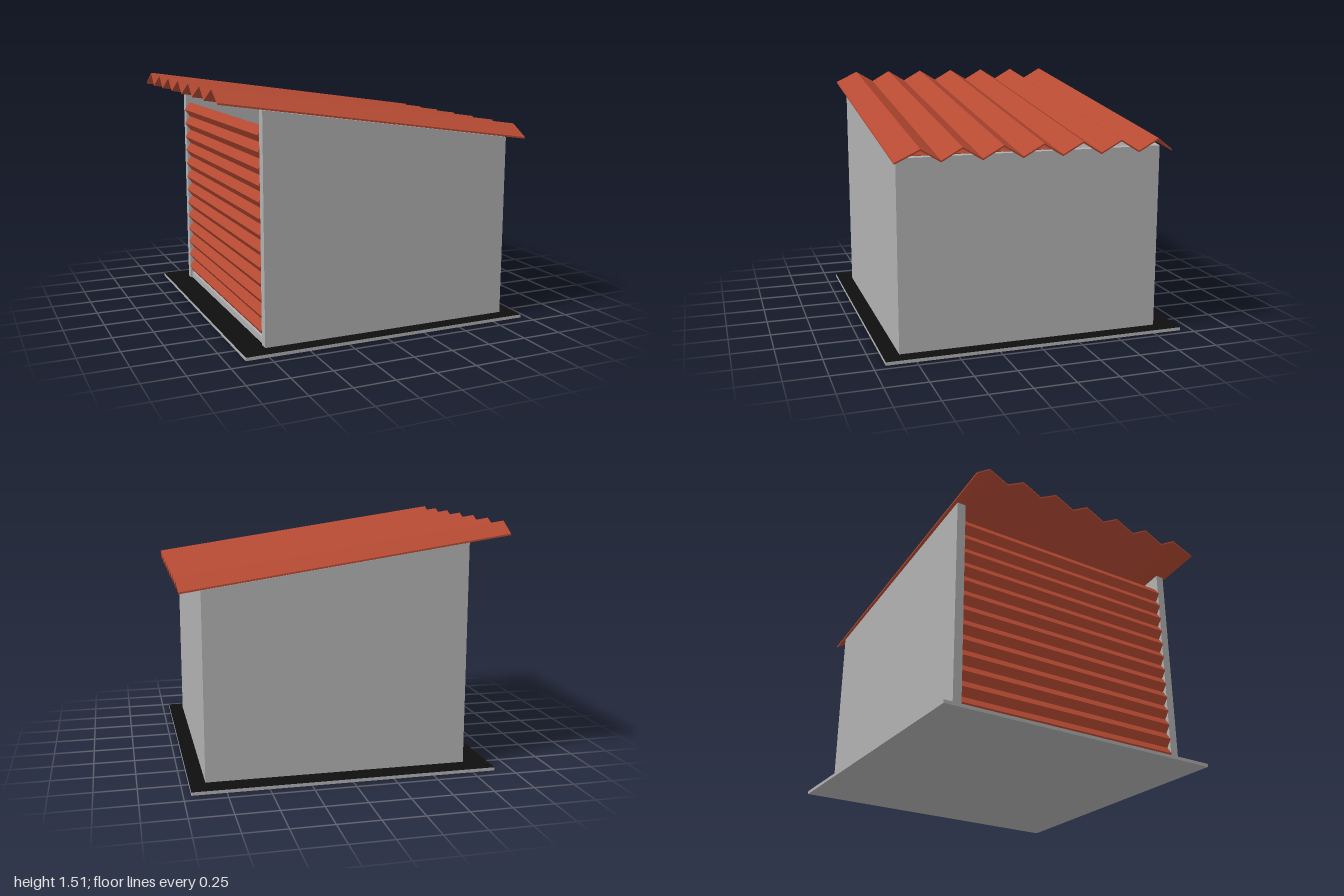
import * as THREE from 'three';

const mat = (name, color) => new THREE.MeshStandardMaterial({ name, color, side: THREE.DoubleSide });

// Thin folded sheet: a zigzag line thickened by (dx, dy) and extruded along z
function foldedSheet(points, dx, dy, depth) {
  const back = points.map(([x, y]) => [x + dx, y + dy]).reverse();
  const shape = new THREE.Shape([...points, ...back].map(([x, y]) => new THREE.Vector2(x, y)));
  return new THREE.ExtrudeGeometry(shape, { depth, bevelEnabled: false });
}

export function createModel() {
  const model = new THREE.Group();
  const grey = mat('concrete grey', 0xb0b0b0);
  const red = mat('rust red', 0xb64a33);
  const black = mat('floor black', 0x0e0e0e);

  const add = (name, geometry, material, x = 0, y = 0, z = 0) => {
    const mesh = new THREE.Mesh(geometry, material);
    mesh.name = name;
    mesh.position.set(x, y, z);
    model.add(mesh);
    return mesh;
  };

  // Base slab with a black upper face
  add('baseSlab', new THREE.BoxGeometry(1.845, 0.02, 1.855),
    [grey, grey, black, grey, grey, grey], 0.032, 0.01, 0);

  // Wall extents and wall thickness
  const x0 = -0.74, x1 = 0.86, z0 = -0.79, z1 = 0.83, t = 0.055;
  const top = (x) => 1.386 - 0.1455 * (x - x0);

  // Side walls with sloping tops
  const side = new THREE.Shape([[x0, 0.02], [x1, 0.02], [x1, top(x1)], [x0, top(x0)]]
    .map(([x, y]) => new THREE.Vector2(x, y)));
  for (const [name, z] of [['frontWall', z1 - t], ['backWall', z0]]) {
    add(name, new THREE.ExtrudeGeometry(side, { depth: t, bevelEnabled: false }), grey, 0, 0, z);
  }

  // Low end wall and the sill below the shutter
  const inner = z1 - z0 - 2 * t, mid = (z0 + z1) / 2, h = top(x1) - 0.02;
  add('endWall', new THREE.BoxGeometry(t, h, inner), grey, x1 - t / 2, 0.02 + h / 2, mid);
  add('sill', new THREE.BoxGeometry(0.03, 0.04, inner), grey, x0 + 0.025, 0.04, mid);

  // Corrugated shutter closing the tall end, leaning out slightly at the top
  const slats = [];
  const folds = 26;
  for (let i = 0; i <= folds; i++) {
    slats.push([(i % 2 ? -0.745 : -0.71) - 0.006 * i / folds, 0.055 + i * 0.0475]);
  }
  add('shutter', foldedSheet(slats, 0.008, 0, inner), red, 0, 0, z0 + t);

  // Corrugated roof: seven ridges running down the slope
  const ridges = [[-0.855, 0.012]];
  for (let i = 0; i < 7; i++) {
    const u = -0.712 + i * 0.238;
    ridges.push([u, 0.083], [i < 6 ? u + 0.119 : 0.81, 0.012]);
  }
  const roofGeometry = foldedSheet(ridges, 0, -0.01, 2.0);
  roofGeometry.rotateY(Math.PI / 2 - 0.004);
  const roof = add('roof', roofGeometry, red, -0.998, 1.425, 0);
  roof.rotation.z = -Math.atan(0.1455);

  return model;
}
